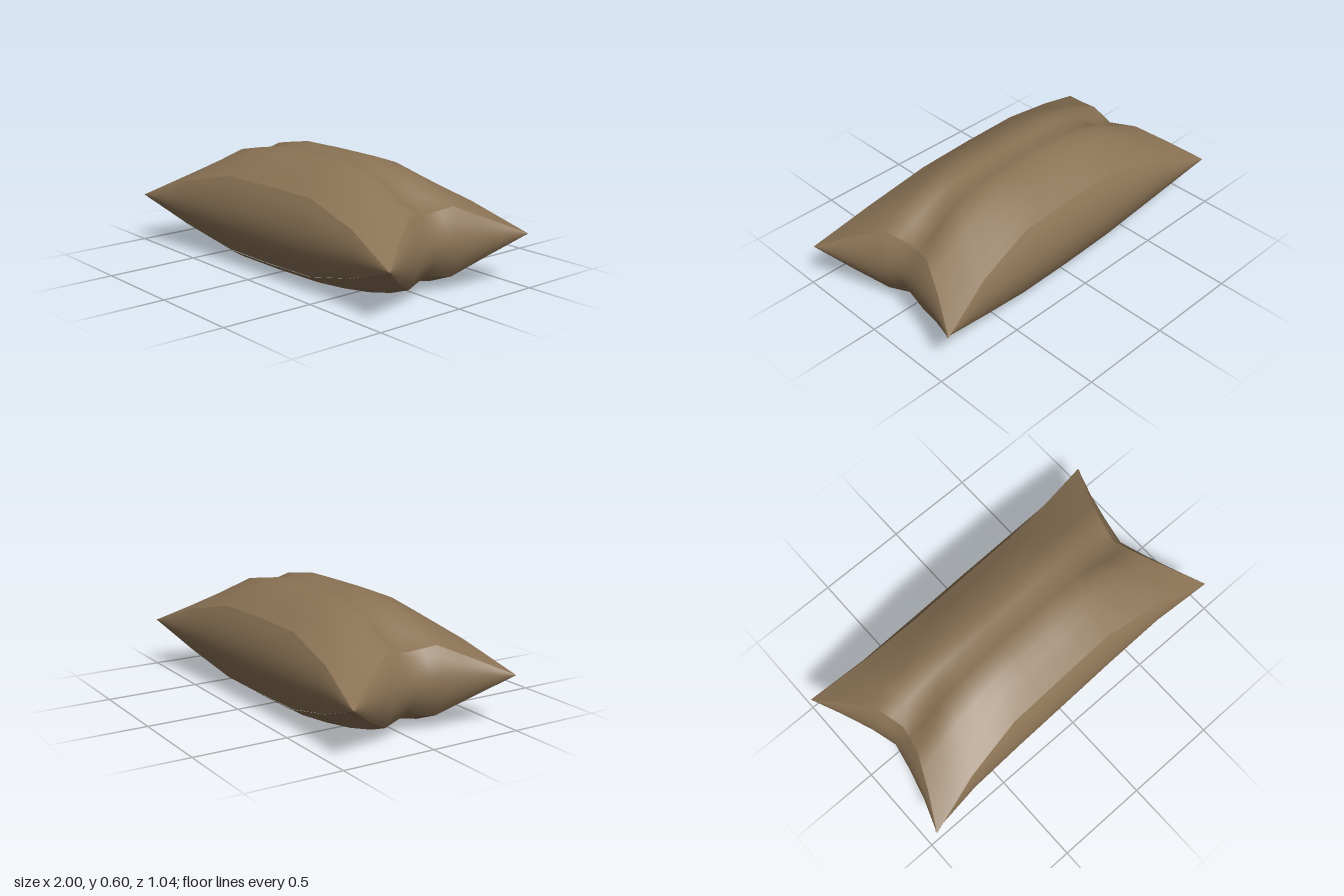
import * as THREE from 'three';

const N = 12; // grid divisions per panel
const MID = 0.27; // height of the four pointed corners

// Seams at evenly spaced parameters from -1 to 1: [x, y, z]
const LONG_SEAM = [
  [-0.97, 0.27, 0.51], [-0.66, 0.39, 0.43], [-0.33, 0.47, 0.38], [0, 0.475, 0.37],
  [0.33, 0.47, 0.36], [0.67, 0.39, 0.39], [1, 0.27, 0.45],
];
const END_SEAM = [
  [0.96, 0.27, -0.52], [0.86, 0.355, -0.34], [0.78, 0.43, -0.17], [0.75, 0.41, -0.02],
  [0.79, 0.435, 0.13], [0.89, 0.36, 0.29], [1, 0.27, 0.45],
];

function sample(knots, t) {
  const s = ((t + 1) / 2) * (knots.length - 1);
  const i = Math.min(Math.floor(s), knots.length - 2);
  return knots[i].map((k, j) => k + (knots[i + 1][j] - k) * (s - i));
}

const halfTurn = ([x, y, z]) => [-x, y, -z];

// side = 1 for the upper seam, -1 for the lower one
function seam(knots, t, side, depth) {
  const [x, y, z] = sample(knots, t);
  return [x, side > 0 ? y : MID - (y - MID) * depth, z];
}
const front = (u, side) => seam(LONG_SEAM, u, side, 1);
const back = (u, side) => halfTurn(front(-u, side));
const leftEnd = (v, side) => seam(END_SEAM, v, side, 1.22);
const rightEnd = (v, side) => halfTurn(leftEnd(-v, side));

// Broad panel blended between its four seams
function broadPanel(u, v, side) {
  const a = (u + 1) / 2, b = (v + 1) / 2;
  const f = front(u, side), k = back(u, side), l = leftEnd(v, side), r = rightEnd(v, side);
  const p = [0, 1, 2].map((j) => {
    const corners = (1 - b) * ((1 - a) * back(-1, side)[j] + a * back(1, side)[j])
      + b * ((1 - a) * front(-1, side)[j] + a * front(1, side)[j]);
    return b * f[j] + (1 - b) * k[j] + a * l[j] + (1 - a) * r[j] - corners;
  });
  const inside = Math.abs(u) < 1 && Math.abs(v) < 1;
  if (!inside) return p;
  if (side > 0) {
    // soften the crown and press a dent in beside each end
    if (p[1] > 0.56) p[1] = 0.56 + (p[1] - 0.56) * 0.6;
    p[1] -= 0.035 * Math.exp(-(((Math.abs(u) - 0.88) / 0.12) ** 2) - (v / 0.2) ** 2);
  } else {
    // settle the underside flat on the ground
    p[1] = 0.5 * (p[1] + Math.sqrt(p[1] * p[1] + 0.0009));
  }
  return p;
}

// Narrow lens-shaped panel between upper and lower seams, bulging outwards
function lensPanel(rim, axis, bulge) {
  return (u, t) => {
    const top = rim(u, 1), low = rim(u, -1), w = (t + 1) / 2;
    const p = top.map((c, j) => low[j] + (c - low[j]) * w);
    p[axis] += bulge * (1 - t * t) * Math.min(1, (1 - Math.abs(u)) * 1.5);
    return p;
  };
}

function panel(name, fn, flip, material) {
  const pos = [], index = [];
  for (let i = 0; i <= N; i++) {
    for (let j = 0; j <= N; j++) pos.push(...fn((2 * i) / N - 1, (2 * j) / N - 1));
  }
  for (let i = 0; i < N; i++) {
    for (let j = 0; j < N; j++) {
      const a = i * (N + 1) + j, b = a + 1, c = a + N + 1, d = c + 1;
      if (flip) index.push(a, c, b, b, c, d);
      else index.push(a, b, c, b, d, c);
    }
  }
  const geometry = new THREE.BufferGeometry();
  geometry.setAttribute('position', new THREE.Float32BufferAttribute(pos, 3));
  geometry.setIndex(index);
  geometry.computeVertexNormals();
  const mesh = new THREE.Mesh(geometry, material);
  mesh.name = name;
  return mesh;
}

export function createModel() {
  const cloth = new THREE.MeshStandardMaterial({ color: 0x8b7355 });
  cloth.name = 'brown cloth';
  const bag = new THREE.Group();
  bag.name = 'stuffedBag';
  bag.add(
    panel('topPanel', (u, v) => broadPanel(u, v, 1), false, cloth),
    panel('bottomPanel', (u, v) => broadPanel(u, v, -1), true, cloth),
    panel('frontPanel', lensPanel(front, 2, 0.07), true, cloth),
    panel('backPanel', lensPanel(back, 2, -0.07), false, cloth),
    panel('leftEndPanel', lensPanel(leftEnd, 0, 0.07), false, cloth),
    panel('rightEndPanel', lensPanel(rightEnd, 0, -0.07), true, cloth),
  );
  return bag;
}
